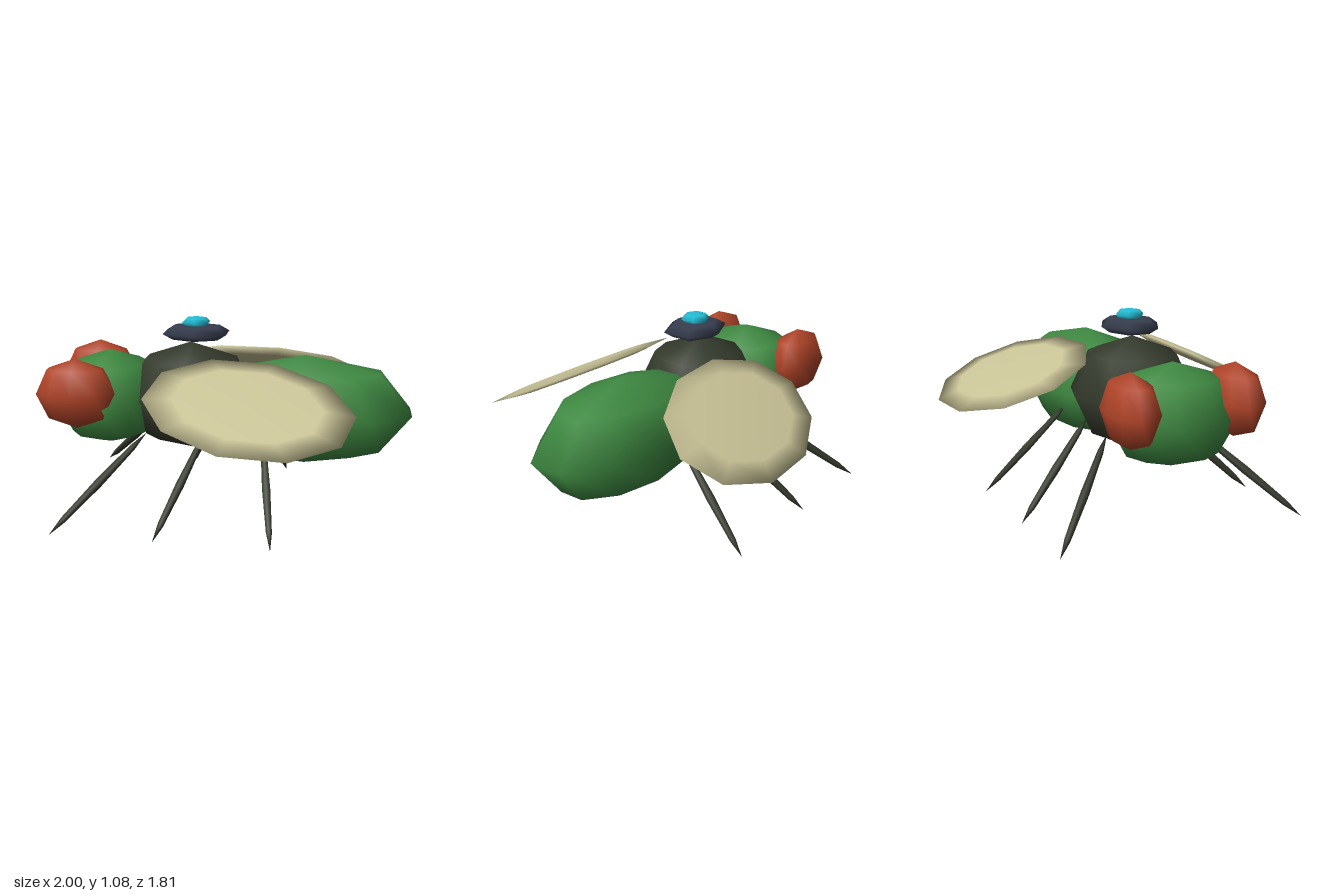
import * as THREE from 'three';

const material = (name, color) => {
  const m = new THREE.MeshStandardMaterial({ color });
  m.name = name;
  return m;
};

export function createModel() {
  const group = new THREE.Group();
  const green = material('body green', 0x3f8a42);
  const dark = material('dark olive', 0x343a2c);
  const red = material('eye red', 0xb04428);
  const cream = material('wing cream', 0xc8c296);
  const navy = material('cap navy', 0x363d4e);
  const cyan = material('cap cyan', 0x22bcd4);

  // Coarse smooth ellipsoid with a corner of its equator on the z axis
  const ellipsoid = (name, mat, center, radii, sides = 10) => {
    const geometry = new THREE.SphereGeometry(1, sides, 4);
    geometry.rotateY(Math.PI / 2);
    const mesh = new THREE.Mesh(geometry, mat);
    mesh.name = name;
    mesh.position.set(...center);
    mesh.scale.set(...radii);
    group.add(mesh);
    return mesh;
  };

  // Body, with the head towards -x
  ellipsoid('abdomen', green, [0.42, 0.575, 0], [0.61, 0.305, 0.325]);
  ellipsoid('thorax', dark, [-0.21, 0.64, 0], [0.365, 0.3, 0.33]);
  ellipsoid('head', green, [-0.67, 0.623, 0], [0.305, 0.267, 0.35]);

  // Floating hexagonal cap
  ellipsoid('capBrim', navy, [-0.18, 0.993, 0], [0.2, 0.048, 0.163], 6);
  ellipsoid('capTop', cyan, [-0.18, 1.05, 0], [0.083, 0.032, 0.08], 6);

  // Inner end and foot of each leg on the +z side
  const legs = [
    ['frontLeg', [-0.42, 0.48, 0.24], [-0.855, 0.04, 0.675]],
    ['middleLeg', [-0.1, 0.49, 0.21], [-0.315, 0.025, 0.675]],
    ['rearLeg', [0.205, 0.5, 0.2], [0.288, 0.005, 0.68]],
  ];

  for (const [side, s] of [['left', 1], ['right', -1]].map(([n, v]) => [n === 'left' ? 'near' : 'far', v])) {
    ellipsoid(side + 'Eye', red, [-0.79, 0.698, 0.285 * s], [0.22, 0.19, 0.128]);

    // Wings droop outwards and sweep back
    const wing = ellipsoid(side + 'Wing', cream, [0.155, 0.715, 0.555 * s], [0.56, 0.025, 0.378]);
    wing.rotation.set(0.45 * s, -0.3 * s, 0);

    // Spindle legs
    for (const [name, hip, foot] of legs) {
      const a = new THREE.Vector3(hip[0], hip[1], hip[2] * s);
      const b = new THREE.Vector3(foot[0], foot[1], foot[2] * s);
      const mid = a.clone().lerp(b, 0.5).toArray();
      const leg = ellipsoid(side + name, dark, mid, [0.024, a.distanceTo(b) / 2, 0.024], 6);
      leg.quaternion.setFromUnitVectors(new THREE.Vector3(0, 1, 0), a.sub(b).normalize());
    }
  }
  return group;
}
